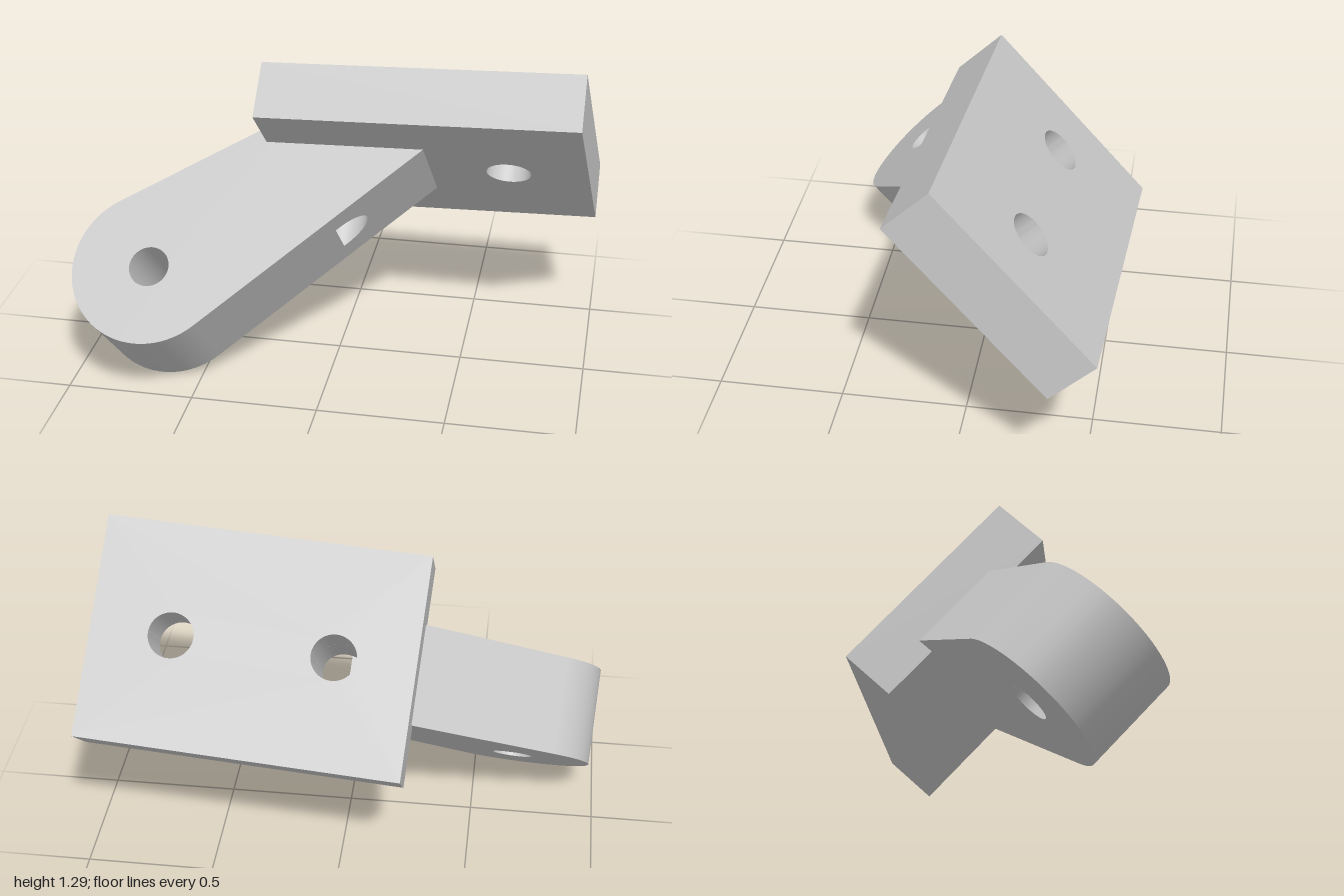
import * as THREE from 'three';
import { toCreasedNormals } from 'three/addons/utils/BufferGeometryUtils.js';

const grey = new THREE.MeshStandardMaterial({ color: 0xc8c8c8, side: THREE.DoubleSide });
grey.name = 'plain grey';

// Local frame: x along the plate, y out through the plate, z along its width.
const plateLength = 1.254, plateWidth = 0.862, plateThickness = 0.235;
const armHalf = 0.196, armRadius = 0.313, pinRadius = 0.08;
const boltRadius = 0.088, boltX = 0.3135, boreFloor = -0.3136;
const eye = new THREE.Vector2(-1.018, -0.549); // centre of the rounded end

function add(group, name, geometry) {
  const mesh = new THREE.Mesh(geometry, grey);
  mesh.name = name;
  group.add(mesh);
}

function circleHole(x, y, r) {
  return new THREE.Path().absarc(x, y, r, 0, Math.PI * 2, true);
}

// Open cylinder whose wall faces its axis
function boreGeometry(radius, height) {
  const geo = new THREE.CylinderGeometry(radius, radius, height, 48, 1, true);
  geo.scale(-1, 1, 1);
  const n = geo.attributes.normal;
  for (let i = 0; i < n.count; i++) n.setXYZ(i, -n.getX(i), 0, -n.getZ(i));
  return geo;
}

function makePlate(group) {
  const w = plateLength / 2, h = plateWidth / 2;
  const shape = new THREE.Shape([
    new THREE.Vector2(-w, -h), new THREE.Vector2(w, -h),
    new THREE.Vector2(w, h), new THREE.Vector2(-w, h),
  ]);
  shape.holes.push(circleHole(-boltX, 0, boltRadius), circleHole(boltX, 0, boltRadius));
  const geo = new THREE.ExtrudeGeometry(shape, { depth: plateThickness, bevelEnabled: false, curveSegments: 32 });
  geo.rotateX(-Math.PI / 2);
  add(group, 'mountingPlate', toCreasedNormals(geo, 0.5));
}

// Flat wall in the plane holding z and the direction at the given angle
function placeWall(shape, angle, x, y) {
  const along = new THREE.Vector3(Math.cos(angle), Math.sin(angle), 0);
  const across = new THREE.Vector3(0, 0, 1);
  const m = new THREE.Matrix4().makeBasis(along, across, along.clone().cross(across));
  return new THREE.ShapeGeometry(shape).applyMatrix4(m.setPosition(x, y, 0));
}

function wallShape(x0, x1) {
  return new THREE.Shape([
    new THREE.Vector2(x0, -armHalf), new THREE.Vector2(x1, -armHalf),
    new THREE.Vector2(x1, armHalf), new THREE.Vector2(x0, armHalf),
  ]);
}

function makeArm(group) {
  // Both straight edges run tangent to the rounded end
  const alpha = Math.atan2(-eye.y, -eye.x) + Math.asin(armRadius / eye.length());
  const lowerLength = Math.sqrt(eye.lengthSq() - armRadius ** 2);
  const upperEnd = new THREE.Vector2(-0.627, 0.068);
  const toEye = upperEnd.clone().sub(eye);
  const beta = Math.atan2(toEye.y, toEye.x) - Math.asin(armRadius / toEye.length());
  const inset = 0.03; // tucks the upper edge into the plate
  const upperLength = Math.sqrt(toEye.lengthSq() - armRadius ** 2) + inset;
  upperEnd.x += inset * Math.cos(beta);
  upperEnd.y += inset * Math.sin(beta);

  // Two cheeks with the pin hole
  const cheek = new THREE.Shape();
  cheek.moveTo(0, 0);
  cheek.lineTo(upperEnd.x, 0);
  cheek.lineTo(upperEnd.x, upperEnd.y);
  cheek.absarc(eye.x, eye.y, armRadius, beta + Math.PI / 2, alpha + Math.PI * 1.5, false);
  cheek.holes.push(circleHole(eye.x, eye.y, pinRadius));
  const front = new THREE.ShapeGeometry(cheek, 40);
  const back = front.clone();
  back.index.array.reverse();
  back.computeVertexNormals();
  add(group, 'armFrontCheek', front.translate(0, 0, armHalf));
  add(group, 'armBackCheek', back.translate(0, 0, -armHalf));

  // Rounded end and pin hole
  const round = new THREE.CylinderGeometry(armRadius, armRadius, armHalf * 2, 48, 1, true,
    beta + Math.PI, Math.PI + alpha - beta);
  add(group, 'armRoundedEnd', round.rotateX(Math.PI / 2).translate(eye.x, eye.y, 0));
  const pin = boreGeometry(pinRadius, armHalf * 2);
  add(group, 'pinHole', pin.rotateX(Math.PI / 2).translate(eye.x, eye.y, 0));

  // Upper wall, from the plate down to the rounded end
  add(group, 'armUpperWall', placeWall(wallShape(0, upperLength), beta + Math.PI, upperEnd.x, upperEnd.y));

  // Lower wall, broken through where the bolt bore meets it
  const slope = Math.tan(alpha);
  const half = Math.acos((boreFloor / slope + boltX) / boltRadius);
  const lower = wallShape(-lowerLength, 0);
  const opening = [];
  for (let i = 0; i <= 32; i++) {
    const t = -half + (2 * half * i) / 32;
    opening.push(new THREE.Vector2((-boltX + boltRadius * Math.cos(t)) / Math.cos(alpha), boltRadius * Math.sin(t)));
  }
  lower.holes.push(new THREE.Path(opening));
  add(group, 'armLowerWall', placeWall(lower, alpha, 0, 0));

  // Bolt bore: its lower rim follows the floor or the sloping wall
  const bore = boreGeometry(boltRadius, 1).translate(-boltX, -0.5, 0);
  const p = bore.attributes.position;
  for (let i = 0; i < p.count; i++) {
    if (p.getY(i) < -0.5) p.setY(i, Math.max(boreFloor, slope * p.getX(i)));
  }
  add(group, 'boltBore', bore);
  const floor = new THREE.Shape().absarc(-boltX, 0, boltRadius, half, Math.PI * 2 - half, false);
  const floorGeo = new THREE.ShapeGeometry(floor, 32).rotateX(-Math.PI / 2);
  add(group, 'boltBoreFloor', floorGeo.translate(0, boreFloor, 0));
}

export function createModel() {
  const model = new THREE.Group();
  model.name = 'hingeBracket';
  const bracket = new THREE.Group();
  bracket.name = 'tiltedBracket';
  makePlate(bracket);
  makeArm(bracket);

  // Tilt the whole bracket
  const x = new THREE.Vector3(0.9976, 0.048, 0.0475).normalize();
  const z = x.clone().cross(new THREE.Vector3(0, 0.688, -0.726)).normalize();
  const y = z.clone().cross(x);
  bracket.quaternion.setFromRotationMatrix(new THREE.Matrix4().makeBasis(x, y, z));
  bracket.position.set(0.344, 0.779, -0.109);
  model.add(bracket);
  return model;
}
